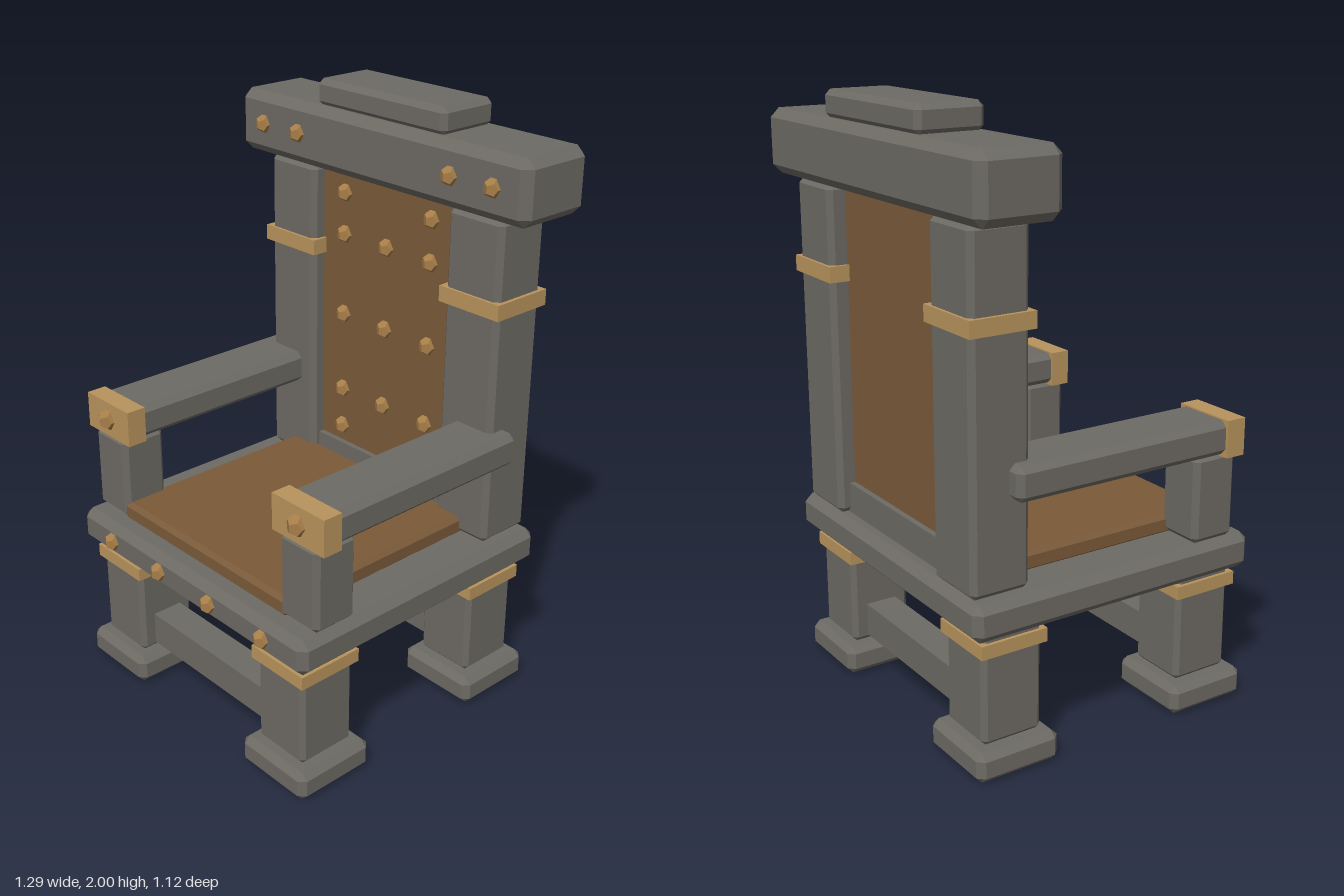
import * as THREE from 'three';
import { ConvexGeometry } from 'three/addons/geometries/ConvexGeometry.js';

const mat = (name, color) => {
  const m = new THREE.MeshStandardMaterial({ color });
  m.name = name;
  return m;
};

// Box with every edge cut by a flat chamfer c
function chamferBox(w, h, d, c) {
  const pts = [];
  for (const sx of [-1, 1]) for (const sy of [-1, 1]) for (const sz of [-1, 1]) {
    const x = w / 2, y = h / 2, z = d / 2;
    pts.push(new THREE.Vector3(sx * x, sy * (y - c), sz * (z - c)));
    pts.push(new THREE.Vector3(sx * (x - c), sy * y, sz * (z - c)));
    pts.push(new THREE.Vector3(sx * (x - c), sy * (y - c), sz * z));
  }
  return new ConvexGeometry(pts);
}

export function createModel() {
  const stone = mat('grey stone', 0x6d6a64);
  const leather = mat('brown leather', 0x7a5a39);
  const brass = mat('brass', 0xb8935c);
  const bronze = mat('bronze stud', 0xa67d48);
  const model = new THREE.Group();
  model.name = 'throne';

  // Block given by its limits on each axis; c is the chamfer (0 = plain box)
  function block(name, material, [x0, x1], [y0, y1], [z0, z1], c = 0) {
    const w = x1 - x0, h = y1 - y0, d = z1 - z0;
    const geo = c ? chamferBox(w, h, d, c) : new THREE.BoxGeometry(w, h, d);
    const mesh = new THREE.Mesh(geo, material);
    mesh.name = name;
    mesh.position.set((x0 + x1) / 2, (y0 + y1) / 2, (z0 + z1) / 2);
    model.add(mesh);
  }

  // The same block on the left and the right
  function pair(name, material, [x0, x1], y, z, c) {
    block(name + 'Left', material, [x0, x1], y, z, c);
    block(name + 'Right', material, [-x1, -x0], y, z, c);
  }

  // Faceted stud half sunk into a front face
  function stud(name, x, y, z, r = 0.032) {
    const geo = new THREE.DodecahedronGeometry(r);
    const mesh = new THREE.Mesh(geo, bronze);
    mesh.name = name;
    mesh.position.set(x, y, z);
    model.add(mesh);
  }

  // Legs with feet, bands and cross bars
  for (const [end, z] of [['front', 0.378], ['back', -0.37]]) {
    pair(end + 'Foot', stone, [0.27, 0.567], [0, 0.1], [z - 0.148, z + 0.148], 0.022);
    pair(end + 'Leg', stone, [0.31, 0.523], [0.1, 0.48], [z - 0.107, z + 0.107], 0.016);
    pair(end + 'LegBand', brass, [0.298, 0.535], [0.4, 0.445], [z - 0.118, z + 0.118]);
    block(end + 'Stretcher', stone, [-0.33, 0.33], [0.12, 0.235], [z - 0.055, z + 0.055]);
  }

  // Seat and cushion
  block('seatSlab', stone, [-0.573, 0.573], [0.467, 0.59], [-0.53, 0.53], 0.027);
  block('seatCushion', leather, [-0.42, 0.42], [0.58, 0.65], [-0.34, 0.458], 0.015);
  for (const x of [-0.39, -0.13, 0.13, 0.39]) stud('seatStud', x, 0.53, 0.53);

  // Back posts, panel and rail
  pair('backPost', stone, [0.307, 0.53], [0.59, 1.7], [-0.515, -0.31], 0.018);
  pair('backPostBand', brass, [0.295, 0.543], [1.387, 1.44], [-0.525, -0.3]);
  block('backPanel', leather, [-0.32, 0.32], [0.69, 1.7], [-0.455, -0.36]);
  block('backRail', stone, [-0.32, 0.32], [0.58, 0.695], [-0.475, -0.34]);
  for (const y of [1.62, 1.475, 1.185, 0.9, 0.755]) {
    for (const x of [-0.2, 0.2]) stud('panelStud', x, y, -0.36);
  }
  for (const y of [1.475, 1.185, 0.9]) stud('panelStud', 0, y, -0.36);

  // Crest and its cap stone
  block('crest', stone, [-0.647, 0.647], [1.703, 1.915], [-0.557, -0.272], 0.03);
  block('crestCap', stone, [-0.287, 0.287], [1.91, 2], [-0.53, -0.3], 0.018);
  for (const x of [-0.518, -0.345, 0.345, 0.518]) stud('crestStud', x, 1.81, -0.272);

  // Arms
  pair('armSupport', stone, [0.392, 0.56], [0.59, 0.885], [0.297, 0.463], 0.018);
  pair('armRest', stone, [0.37, 0.583], [0.883, 0.995], [-0.387, 0.42], 0.02);
  pair('armCap', brass, [0.363, 0.592], [0.876, 1], [0.392, 0.462]);
  for (const x of [-0.477, 0.477]) stud('armStud', x, 0.937, 0.46, 0.037);

  return model;
}
